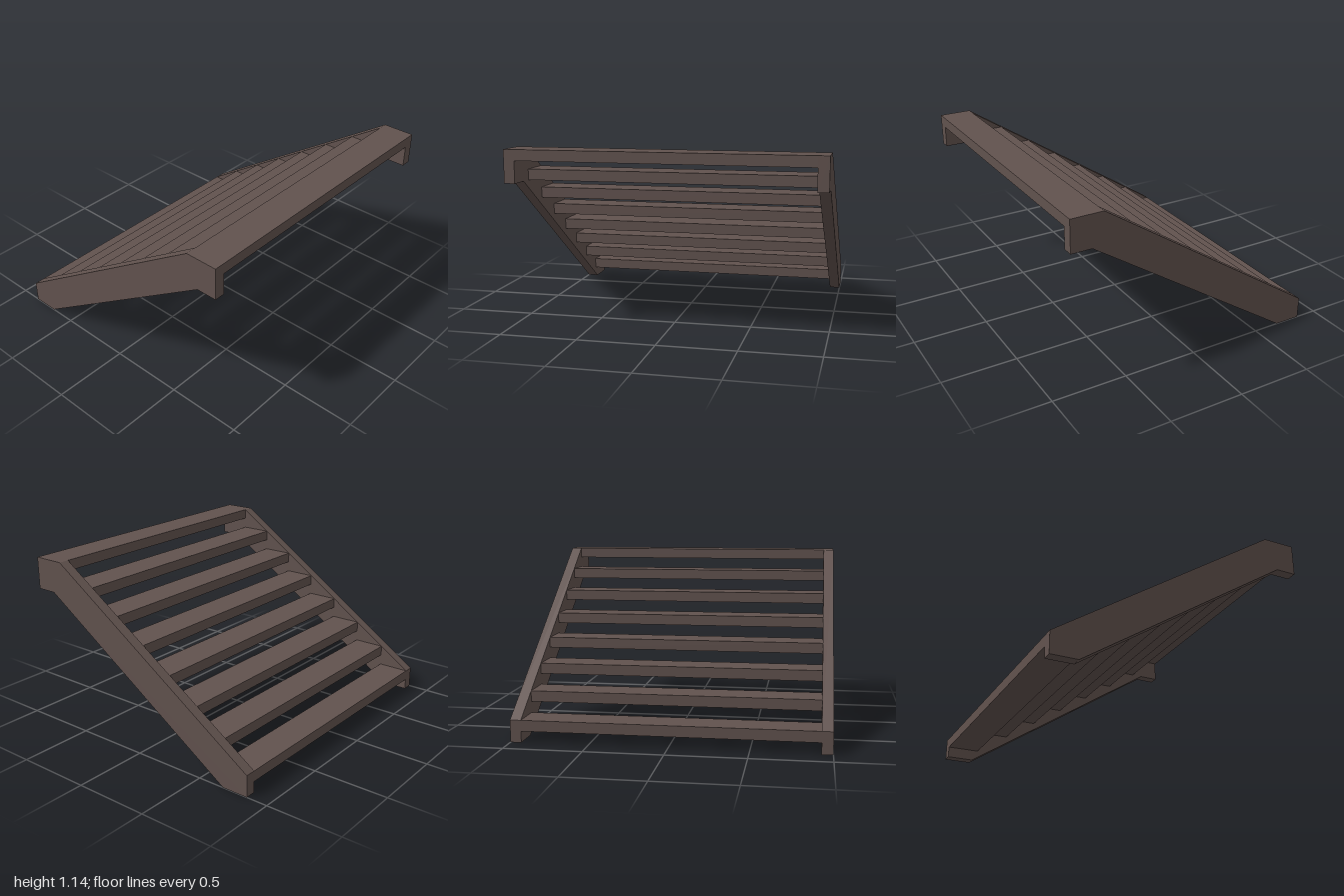
import * as THREE from 'three';

export function createModel() {
  const group = new THREE.Group();
  const wood = new THREE.MeshStandardMaterial({ color: 0x61524e });
  wood.name = 'dark brown wood';

  const steps = 8, rise = 1.143 / steps, run = 1.714 / steps;
  const sideWidth = 0.07, thickness = 0.07, back = -0.857, front = 0.857;

  // Side beams: one profile in (z, y), extruded across x
  const profile = [
    [front, 1.143], [front, 0.93], [0.72, 0.93], [-0.68, 0],
    [back, 0], [back, rise], [front - run, 1.143],
  ].map(([z, y]) => new THREE.Vector2(-z, y));
  const beam = new THREE.ExtrudeGeometry(new THREE.Shape(profile), { depth: sideWidth, bevelEnabled: false });
  beam.rotateY(Math.PI / 2); // profile x -> -z, depth -> +x
  for (const [name, x] of [['leftStringer', 1 - sideWidth], ['rightStringer', -1]]) {
    const mesh = new THREE.Mesh(beam, wood);
    mesh.name = name;
    mesh.position.x = x;
    group.add(mesh);
  }

  // Treads rise from the back to the front, with open risers
  const tread = new THREE.BoxGeometry(2 - 2 * sideWidth, thickness, run);
  for (let i = 0; i < steps; i++) {
    const mesh = new THREE.Mesh(tread, wood);
    mesh.name = `tread${i + 1}`;
    mesh.position.set(0, (i + 1) * rise - thickness / 2, back + (i + 0.5) * run);
    group.add(mesh);
  }
  return group;
}
